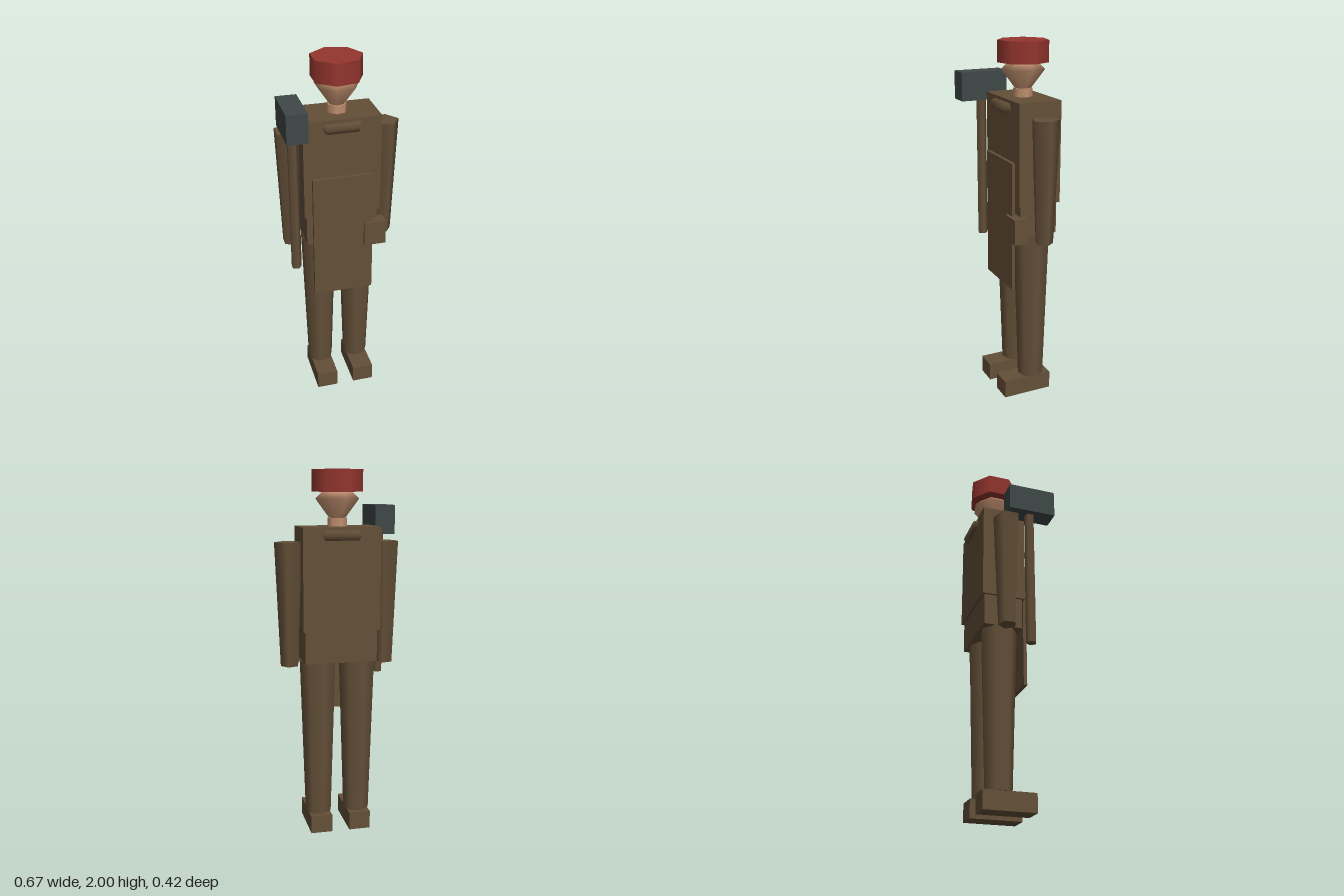
import * as THREE from 'three';

const CX = -0.008, CZ = -0.057; // body axis

export function createModel() {
  const model = new THREE.Group();
  model.name = 'craftsman';
  const material = (name, color) => {
    const m = new THREE.MeshStandardMaterial({ color });
    m.name = name;
    return m;
  };
  const brown = material('brownCloth', 0x644f38);
  const red = material('redCap', 0x94352e);
  const skin = material('skin', 0xc0906f);
  const steel = material('darkSteel', 0x3f4747);

  const add = (name, geometry, mat) => {
    const mesh = new THREE.Mesh(geometry, mat);
    mesh.name = name;
    model.add(mesh);
    return mesh;
  };
  // box from its minimum and maximum on each axis
  const box = (name, mat, [x0, x1], [y0, y1], [z0, z1]) =>
    add(name, new THREE.BoxGeometry(x1 - x0, y1 - y0, z1 - z0), mat)
      .position.set((x0 + x1) / 2, (y0 + y1) / 2, (z0 + z1) / 2);
  // upright tapered post with one corner pointing to +x
  const post = (name, mat, rTop, rBottom, y0, y1, sides, x = CX, z = CZ) => {
    const g = new THREE.CylinderGeometry(rTop, rBottom, y1 - y0, sides).rotateY(Math.PI / 2);
    add(name, g, mat).position.set(x, (y0 + y1) / 2, z);
  };

  // body
  box('torso', brown, [-0.218, 0.202], [1.155, 1.705], [-0.178, 0.063]);
  box('hips', brown, [-0.205, 0.19], [0.98, 1.155], [-0.164, 0.05]);
  const collar = new THREE.TorusGeometry(0.147, 0.03, 6, 6).rotateX(Math.PI / 2);
  add('collar', collar, brown).position.set(CX, 1.663, CZ);

  // limbs
  for (const [side, s] of [['left', 1], ['right', -1]]) {
    const legX = CX + s * 0.11;
    post(side + 'Leg', brown, 0.1, 0.073, 0.1, 0.98, 7, legX);
    box(side + 'Shoe', brown, [legX - 0.06, legX + 0.06], [0, 0.1], [-0.155, 0.13]);
    post(side + 'Arm', brown, 0.077, 0.05, 0.955, 1.625, 5, CX + s * 0.265);
  }

  // head, neck and cap
  post('neck', skin, 0.053, 0.053, 1.7, 1.75, 7);
  const profile = [[0, 1.69], [0.119, 1.85], [0.08, 1.887], [0, 1.95]]
    .map(([r, y]) => new THREE.Vector2(r, y));
  add('head', new THREE.LatheGeometry(profile, 7).rotateY(Math.PI / 2), skin)
    .position.set(CX, 0, CZ);
  post('cap', red, 0.139, 0.139, 1.885, 2, 7);

  // apron and belt pouch
  box('apron', brown, [-0.175, 0.158], [0.667, 1.385], [0.066, 0.085]);
  box('pouch', brown, [0.107, 0.229], [0.955, 1.095], [0.025, 0.101]);

  // hammer
  post('hammerHandle', brown, 0.029, 0.029, 0.867, 1.67, 5, -0.275, 0.075);
  box('hammerHead', steel, [-0.329, -0.219], [1.66, 1.815], [-0.058, 0.208]);

  return model;
}
